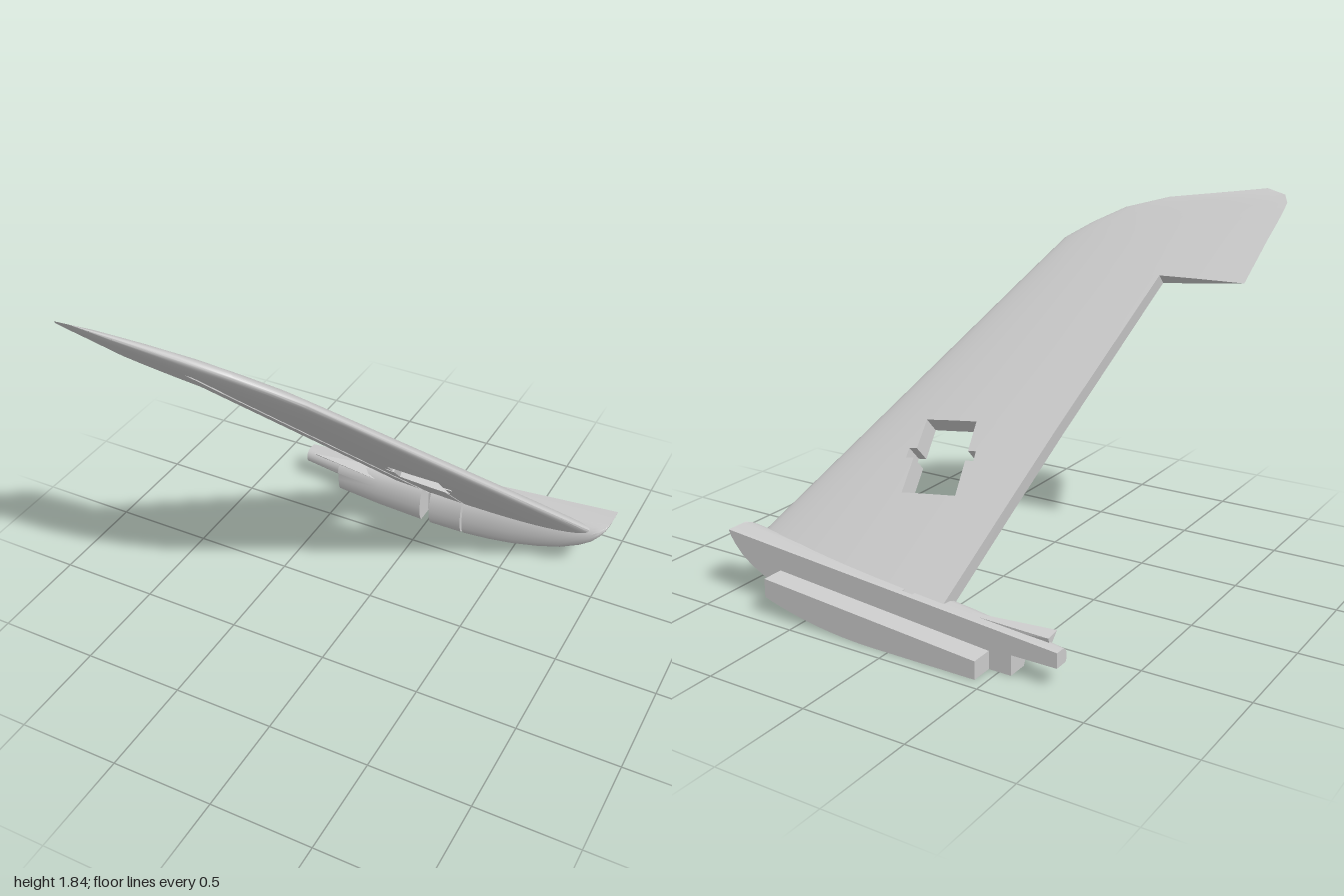
import * as THREE from 'three';
import { toCreasedNormals } from 'three/addons/utils/BufferGeometryUtils.js';
import { ConvexGeometry } from 'three/addons/geometries/ConvexGeometry.js';

const material = new THREE.MeshStandardMaterial({ color: 0xcccccc, side: THREE.DoubleSide });
const lerp = THREE.MathUtils.lerp;

// Collects quads (corners counter-clockwise from outside) into a creased geometry
function quadGeometry(quads) {
  const pos = [];
  for (const [a, b, c, d] of quads) pos.push(...a, ...b, ...c, ...a, ...c, ...d);
  const g = new THREE.BufferGeometry();
  g.setAttribute('position', new THREE.Float32BufferAttribute(pos, 3));
  return toCreasedNormals(g, 0.6);
}

function addMesh(group, name, geometry) {
  const mesh = new THREE.Mesh(geometry, material);
  mesh.name = name;
  group.add(mesh);
}

// Symmetric airfoil half thickness, 1 at its thickest; w runs from nose to tail
const airfoil = (w) => Math.max(0,
  10 * (0.2969 * Math.sqrt(w) - 0.126 * w - 0.3516 * w ** 2 + 0.2843 * w ** 3 - 0.1036 * w ** 4));

// Canted fin: slanted chord rows, with hinge notch, square opening and spar grooves
function finGeometry() {
  // tail x, tail y, nose x, nose y, hinge x, spar x, opening left x, opening right x, half thickness
  const root = [-0.71, 0.10, 0.92, 0.265, -0.18, -0.01, 0.08, 0.23, 0.056];
  const low = [-0.79, 0.62, 0.805, 0.436, -0.287, -0.126, -0.02, 0.25, 0.055];
  const high = [-0.84, 0.887, 0.604, 0.736, -0.362, -0.20, 0.04, 0.30, 0.052];
  const between = (t) => low.map((v, i) => lerp(v, high[i], t));
  const rows = [
    root, low, between(0.47), between(0.6), high,
    [-0.945, 1.462, 0.157, 1.403, -0.54, -0.38, -0.15, 0, 0.043],
    [-0.96, 1.55, 0.05, 1.56, -0.56, -0.41, -0.25, -0.1, 0.04],
    [-0.975, 1.64, -0.06, 1.635, -0.6, -0.45, -0.33, -0.2, 0.036],
    [-0.99, 1.71, -0.2, 1.71, -0.7, -0.58, -0.47, -0.38, 0.031],
    [-0.998, 1.76, -0.4, 1.768, -0.8, -0.72, -0.64, -0.56, 0.023],
    [-1, 1.79, -0.68, 1.81, -0.93, -0.88, -0.8, -0.75, 0.014],
    [-0.975, 1.822, -0.88, 1.842, -0.955, -0.94, -0.92, -0.9, 0],
  ];
  const steps = [4, 2, 1, 2, 1, 3, 1, 1, 1, 12];
  const section = steps.flatMap((n, s) => Array(n).fill(s));

  // Each grid point keeps its lower skin, upper skin and groove floor
  const grid = rows.map(([tx, ty, nx, ny, hinge, spar, left, right, thick]) => {
    const k = Math.min(1, (nx - tx) / 0.6);
    const stops = [tx, hinge, spar - 0.02 * k, spar + 0.02 * k, left - 0.04 * k, left,
      right - 0.03 * k, right - 0.015 * k, right, right + 0.04 * k, nx];
    const xs = [tx];
    steps.forEach((n, s) => {
      for (let i = 1; i <= n; i++) {
        const t = i / n;
        xs.push(lerp(stops[s], stops[s + 1], s === 9 ? 1 - (1 - t) ** 2 : t));
      }
    });
    return xs.map((x) => {
      const u = (x - tx) / (nx - tx);
      const y = lerp(ty, ny, u), z = -0.69 + (y - 0.255) / 0.972;
      const h = thick * airfoil(Math.max(0, 1 - u));
      const at = (d) => [x, y + 0.717 * d, z - 0.697 * d];
      return { lower: at(-h), upper: at(h), floor: at(-0.2 * h) };
    });
  });

  const solid = (i, j) => {
    if (j < 0 || j >= rows.length - 1 || i < 0 || i >= section.length) return false;
    const s = section[i];
    if (s === 0) return j >= 5;
    if (s >= 5 && s <= 7) return j < 1 || j > 3;
    if (s === 4 || s === 8) return j !== 2;
    return true;
  };
  const groove = (i, j) => j >= 0 && ((section[i] === 2 && j <= 6) || (section[i] === 6 && j === 0));

  const quads = [];
  for (let j = 0; j < rows.length - 1; j++) {
    for (let i = 0; i < section.length; i++) {
      if (!solid(i, j)) continue;
      const c = [grid[j][i], grid[j][i + 1], grid[j + 1][i + 1], grid[j + 1][i]];
      const cut = groove(i, j);
      quads.push(c.map((p) => (cut ? p.floor : p.lower)));
      quads.push(c.map((p) => p.upper).reverse());
      [[i, j - 1], [i + 1, j], [i, j + 1], [i - 1, j]].forEach(([ni, nj], e) => {
        const a = c[e], b = c[(e + 1) % 4];
        if (!solid(ni, nj)) quads.push([b.lower, a.lower, a.upper, b.upper]);
        else if (cut && !groove(ni, nj)) quads.push([b.floor, a.floor, a.lower, b.lower]);
      });
    }
  }
  return quadGeometry(quads);
}

const BACK = -0.83;
const topY = (x) => 0.165 + (0.15 * (x + 0.78)) / 1.78;

// Root body: bulged half section with a flat back, cut by two slots
function bodyGeometry() {
  // x, bottom y, depth
  const stations = [
    [-0.78, 0.095, 0.08], [-0.56, 0.095, 0.12], [-0.56, 0, 0.12], [-0.3, 0, 0.155],
    [-0.035, 0, 0.175], [-0.035, 0, 0.06], [0.02, 0, 0.06], [0.02, 0, 0.178],
    [0.205, 0.005, 0.185], [0.205, 0.005, 0.14], [0.216, 0.005, 0.14], [0.216, 0.005, 0.185],
    [0.36, 0.018, 0.187], [0.5, 0.04, 0.188], [0.64, 0.074, 0.188], [0.76, 0.113, 0.188],
    [0.86, 0.163, 0.186], [0.92, 0.205, 0.183], [0.96, 0.248, 0.173], [0.985, 0.283, 0.155],
    [1, 0.314, 0.12],
  ];
  // height share, depth share
  const profile = [[0, 0], [0, 0.85], [0.06, 0.91], [0.18, 0.97], [0.4, 1], [0.6, 0.98],
    [0.76, 0.92], [0.88, 0.83], [0.96, 0.7], [1, 0.52], [1, 0]];
  const rings = stations.map(([x, y, w]) =>
    profile.map(([f, d]) => [x, lerp(y, topY(x), f), BACK + w * d]));
  const quads = [];
  const n = profile.length;
  for (let s = 0; s < rings.length - 1; s++) {
    for (let i = 0; i < n; i++) {
      const k = (i + 1) % n;
      quads.push([rings[s][i], rings[s + 1][i], rings[s + 1][k], rings[s][k]]);
    }
  }
  // End caps
  const first = rings[0], last = rings[rings.length - 1];
  for (let i = 1; i < n - 1; i++) {
    quads.push([first[0], first[i], first[i + 1], first[0]]);
    quads.push([last[0], last[i + 1], last[i], last[0]]);
  }
  return quadGeometry(quads);
}

// Mounting block behind the body, its underside following the body curve
function blockGeometry() {
  const shape = new THREE.Shape();
  shape.moveTo(-0.45, 0);
  shape.lineTo(0.1, 0);
  shape.quadraticCurveTo(0.42, 0.005, 0.69, 0.09);
  shape.lineTo(0.69, 0.18);
  shape.lineTo(-0.45, 0.085);
  shape.closePath();
  const g = new THREE.ExtrudeGeometry(shape, { depth: 0.12, bevelEnabled: false });
  g.translate(0, 0, -0.94);
  return toCreasedNormals(g, 0.6);
}

// Wedge fairing that carries the fin line on behind the hinge
function fairingGeometry() {
  return new ConvexGeometry([
    [-0.71, 0.2, -0.71], [-0.71, 0.14, -0.77], [-0.71, 0.19, -0.78],
    [-0.19, 0.205, -0.785], [-0.19, 0.15, -0.69], [-0.19, 0.14, -0.785],
  ].map((p) => new THREE.Vector3(...p)));
}

export function createModel() {
  const group = new THREE.Group();
  group.name = 'tailFin';
  addMesh(group, 'fin', finGeometry());
  addMesh(group, 'rootBody', bodyGeometry());
  addMesh(group, 'mountingBlock', blockGeometry());
  addMesh(group, 'hingeFairing', fairingGeometry());
  return group;
}
